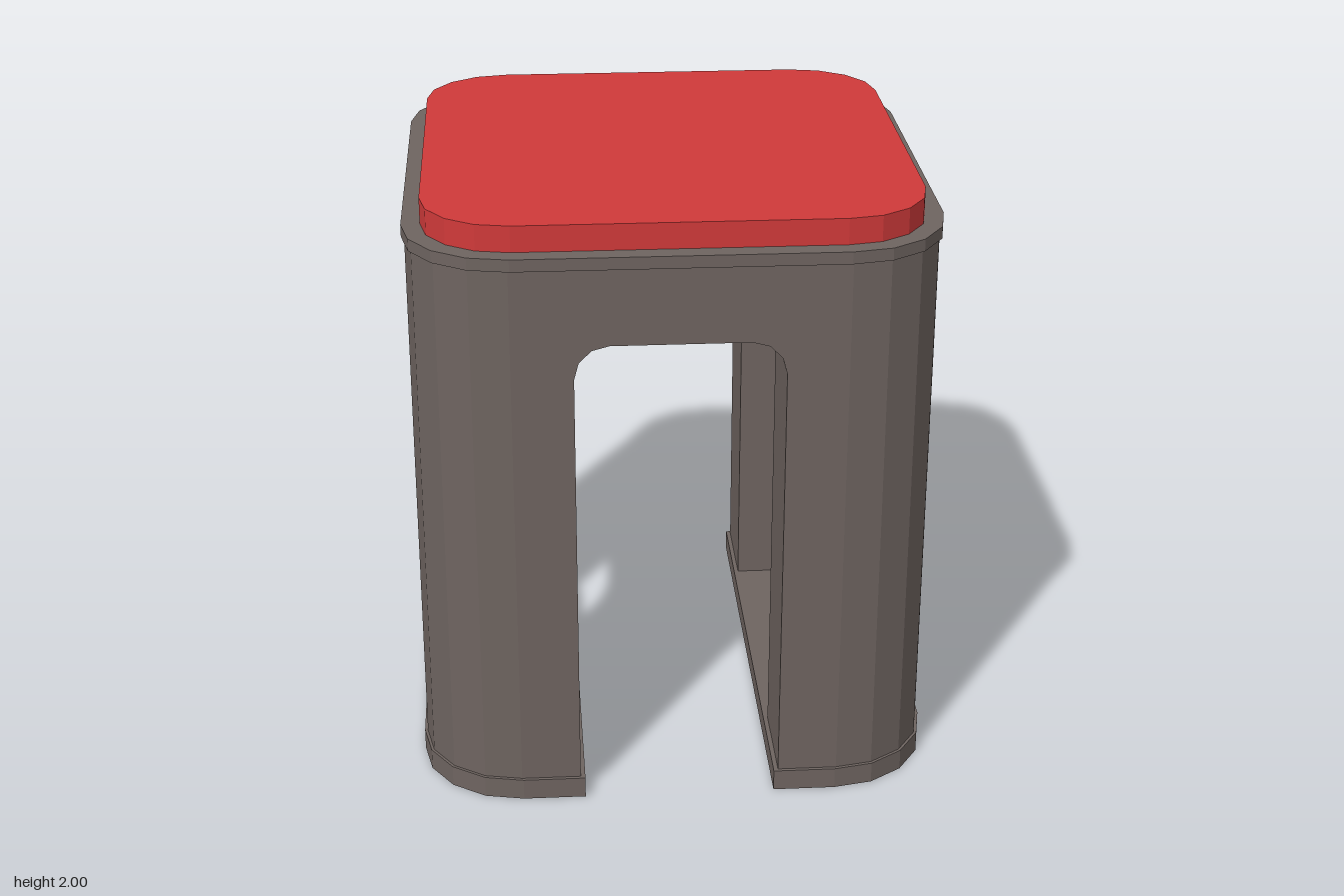
import * as THREE from 'three';

const HX = 0.845, HZ = 0.861, R = 0.32;  // body half sizes and corner radius
const X0 = 0.33, Z0 = 0.535;             // half widths of the front and side openings
const FRONT_TOP = 1.622, SIDE_TOP = 1.513, BODY_TOP = 1.88;

// Faceted quarter arc in quadrant (sx, sz), running from the side face to the front face
function corner(hx, hz, r, sx, sz) {
  const pts = [];
  for (let i = 0; i <= 4; i++) {
    const a = (i / 4) * Math.PI / 2;
    pts.push([sx * (hx - r + r * Math.cos(a)), sz * (hz - r + r * Math.sin(a))]);
  }
  return pts;
}

// Rounded rectangle outline
const roundedRect = (hx, hz, r) => [
  ...corner(hx, hz, r, 1, 1), ...corner(hx, hz, r, -1, 1).reverse(),
  ...corner(hx, hz, r, -1, -1), ...corner(hx, hz, r, 1, -1).reverse(),
];

// One side of the footprint, cut straight at x0
const sideOutline = (hx, hz, r, x0, sx) => [
  [sx * x0, -hz], ...corner(hx, hz, r, sx, -1).reverse(),
  ...corner(hx, hz, r, sx, 1), [sx * x0, hz],
];

// Leg section, shrunk by t for its hollow
const legOutline = (t, sx, sz) => [
  [sx * (X0 + t), sz * (Z0 + t)], [sx * (HX - t), sz * (Z0 + t)],
  ...corner(HX - t, HZ - t, R - t, sx, sz), [sx * (X0 + t), sz * (HZ - t)],
];

// Concave arch corner: from (w, top - r) on the jamb to (w - r, top) on the lintel
function archCorner(w, top, r, s) {
  const pts = [];
  for (let i = 0; i <= 3; i++) {
    const a = (i / 3) * Math.PI / 2;
    pts.push([s * (w - r + r * Math.cos(a)), top - r + r * Math.sin(a)]);
  }
  return pts;
}

// The hole runs against the outline, so that its walls face inwards
function extrude(outline, depth, hole) {
  const toVec = (pts) => pts.map(([x, y]) => new THREE.Vector2(x, y));
  const shape = new THREE.Shape(toVec(outline));
  if (hole) shape.holes.push(new THREE.Path(toVec(hole).reverse()));
  return new THREE.ExtrudeGeometry(shape, { depth, bevelEnabled: false });
}

// Upright prism from a plan outline
const upright = (outline, y0, y1, hole) =>
  extrude(outline, y1 - y0, hole).rotateX(-Math.PI / 2).translate(0, y0, 0);

export function createModel() {
  const stool = new THREE.Group();
  stool.name = 'stool';
  const plastic = new THREE.MeshStandardMaterial({ color: 0x6e6460, side: THREE.DoubleSide });
  plastic.name = 'warm grey plastic';
  const red = new THREE.MeshStandardMaterial({ color: 0xd03a3a });
  red.name = 'red cushion';

  const add = (name, geometry, material = plastic) => {
    const mesh = new THREE.Mesh(geometry, material);
    mesh.name = name;
    stool.add(mesh);
  };

  // Seat
  add('cushion', upright(roundedRect(0.795, 0.81, 0.28), 1.91, 2), red);
  add('topRim', upright(roundedRect(0.855, 0.873, 0.335), 1.875, 1.915));

  // Lintel over the front and back openings
  add('archBridge', extrude([
    ...archCorner(X0, FRONT_TOP, 0.11, 1), ...archCorner(X0, FRONT_TOP, 0.11, -1).reverse(),
    [-X0, BODY_TOP], [X0, BODY_TOP],
  ], 2 * HZ).translate(0, 0, -HZ));

  for (const sx of [1, -1]) {
    const side = sx > 0 ? 'left' : 'right';

    // Apron over the side opening, wrapping round both corners
    add(side + 'Apron', upright(sideOutline(HX, HZ, R, X0, sx), SIDE_TOP, BODY_TOP));

    // Foot band, open underneath, and the floor plate between the legs
    add(side + 'FootBand', upright(
      sideOutline(0.855, 0.873, 0.335, 0.315, sx), 0, 0.072,
      sideOutline(0.838, 0.856, 0.318, 0.332, sx)));
    const floor = new THREE.BoxGeometry(0.52, 0.01, 2 * Z0 + 0.01);
    add(side + 'FloorPlate', floor.translate(sx * 0.585, 0.067, 0));

    for (const sz of [1, -1]) {
      const end = sz > 0 ? 'Front' : 'Back';
      // Hollow leg
      add(side + end + 'Leg', upright(legOutline(0, sx, sz), 0.06, SIDE_TOP, legOutline(0.005, sx, sz)));
      // Rounded upper corner of the side opening
      const fillet = extrude([...archCorner(Z0, SIDE_TOP, 0.125, -sz), [-sz * Z0, SIDE_TOP]], HX - X0);
      add(side + end + 'ArchCorner',
        fillet.rotateY(Math.PI / 2).translate(sx > 0 ? X0 : -HX, 0, 0));
    }
  }
  return stool;
}
